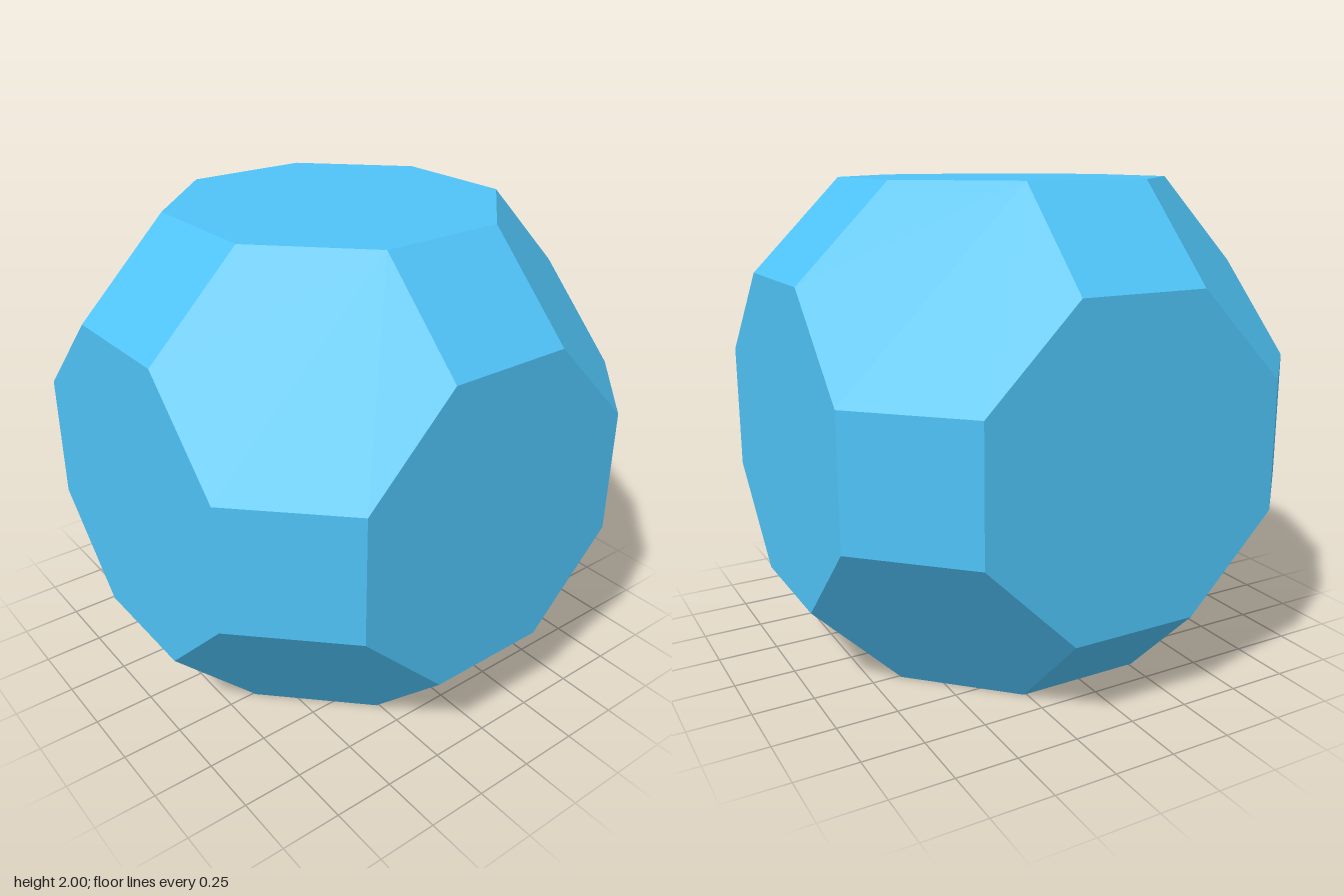
import * as THREE from 'three';

// Truncated cuboctahedron: corners are all signed permutations of (A, B, 1)
const A = 1 / (1 + 2 * Math.SQRT2);
const B = (1 + Math.SQRT2) * A;

function makeCorners() {
  const corners = [];
  const orders = [[A, B, 1], [A, 1, B], [B, A, 1], [B, 1, A], [1, A, B], [1, B, A]];
  for (const [x, y, z] of orders)
    for (const sx of [-1, 1])
      for (const sy of [-1, 1])
        for (const sz of [-1, 1]) corners.push(new THREE.Vector3(sx * x, sy * y, sz * z));
  return corners;
}

// The corners lying furthest along a direction form one face, ordered counter-clockwise
function facePolygon(corners, normal) {
  const reach = Math.max(...corners.map((c) => c.dot(normal)));
  const ring = corners.filter((c) => reach - c.dot(normal) < 1e-6);
  const centre = normal.clone().multiplyScalar(reach);
  const u = ring[0].clone().sub(centre).normalize();
  const v = normal.clone().cross(u);
  const angle = (c) => {
    const d = c.clone().sub(centre);
    return Math.atan2(d.dot(v), d.dot(u));
  };
  return ring.sort((p, q) => angle(p) - angle(q));
}

// Flat faces of one kind, each triangulated as a fan
function makeFaces(name, corners, normals, material) {
  const positions = [];
  for (const n of normals) {
    const ring = facePolygon(corners, n);
    for (let i = 1; i < ring.length - 1; i++)
      for (const p of [ring[0], ring[i], ring[i + 1]]) positions.push(p.x, p.y, p.z);
  }
  const geometry = new THREE.BufferGeometry();
  geometry.setAttribute('position', new THREE.Float32BufferAttribute(positions, 3));
  geometry.computeVertexNormals();
  const mesh = new THREE.Mesh(geometry, material);
  mesh.name = name;
  return mesh;
}

export function createModel() {
  const group = new THREE.Group();
  group.name = 'truncatedCuboctahedron';
  const material = new THREE.MeshStandardMaterial({ color: 0x4fc3f7, flatShading: true });
  const corners = makeCorners();

  // Face directions: 6 along the axes, 12 along the edges, 8 along the corners of a cube
  const directions = { 1: [], 2: [], 3: [] };
  for (const x of [-1, 0, 1])
    for (const y of [-1, 0, 1])
      for (const z of [-1, 0, 1]) {
        const kind = Math.abs(x) + Math.abs(y) + Math.abs(z);
        if (kind) directions[kind].push(new THREE.Vector3(x, y, z).normalize());
      }

  const solid = new THREE.Group();
  solid.name = 'solid';
  solid.position.y = 1;
  solid.add(
    makeFaces('octagonFaces', corners, directions[1], material),
    makeFaces('squareFaces', corners, directions[2], material),
    makeFaces('hexagonFaces', corners, directions[3], material)
  );
  group.add(solid);
  return group;
}
